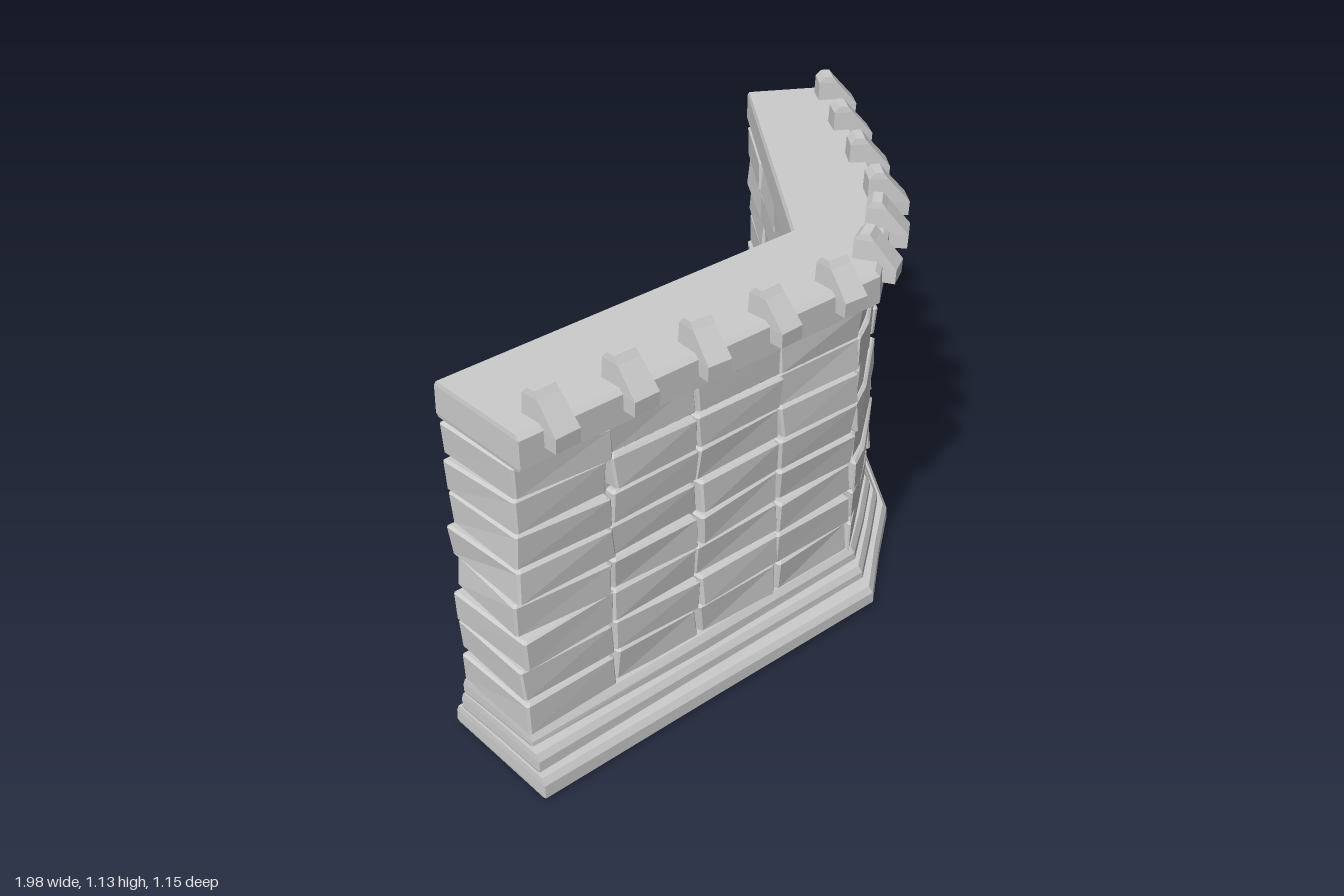
import * as THREE from 'three';

const material = new THREE.MeshStandardMaterial({ color: 0xcccccc, flatShading: true });

// Seeded random value in -1..1
let seed = 11;
const rand = () => {
  seed = (seed * 16807) % 2147483647;
  return (seed / 2147483647) * 2 - 1;
};

// Solid through a stack of rings, each a loop of [x, y, z], with both ends capped
function loft(name, rings) {
  const pos = [];
  const tri = (...pts) => pts.forEach((p) => pos.push(...p));
  const n = rings[0].length;
  for (let r = 0; r < rings.length - 1; r++) {
    const a = rings[r], b = rings[r + 1];
    for (let i = 0; i < n; i++) {
      const j = (i + 1) % n;
      tri(a[i], a[j], b[j]);
      tri(a[i], b[j], b[i]);
    }
  }
  const cap = (ring, up) => {
    const flat = ring.map(([x, , z]) => new THREE.Vector2(x, -z));
    for (const [a, b, c] of THREE.ShapeUtils.triangulateShape(flat, [])) {
      if (up) tri(ring[a], ring[b], ring[c]);
      else tri(ring[a], ring[c], ring[b]);
    }
  };
  cap(rings[0], false);
  cap(rings[rings.length - 1], true);
  const geometry = new THREE.BufferGeometry();
  geometry.setAttribute('position', new THREE.Float32BufferAttribute(pos, 3));
  geometry.computeVertexNormals();
  const mesh = new THREE.Mesh(geometry, material);
  mesh.name = name;
  return mesh;
}

// Bent wall footprint: [x, z, outward x, outward z, 1 at the slanted arm's end]
const PLAN = [
  [-0.98, 0.49, -0.12, 1, 0], [0.15, 0.49, 0.4, 1, 0], [0.43, 0.275, 1, 0.45, 0],
  [0.90, -0.42, 1.25, 0.3, 1], [0.712, -0.53, 0.15, -0.65, 1],
  [0.17, 0.222, -0.15, -0.5, 0], [-0.98, 0.222, -0.12, -0.5, 0],
];
// Footprint grown by d, with the slanted arm lengthened by extra
const plan = (d, extra) => PLAN.map(([x, z, nx, nz, end]) => [
  x + nx * d + end * extra * 0.58, z + nz * d - end * extra * 0.81,
]);

// Split every side of a footprint so that it can be made uneven
function subdivide(loop, parts) {
  const out = [];
  loop.forEach(([x, z], i) => {
    const [u, v] = loop[(i + 1) % loop.length];
    for (let k = 0; k < parts; k++) {
      const t = k / parts;
      out.push([x + (u - x) * t, z + (v - z) * t]);
    }
  });
  return out;
}

// Long uneven plinth course with worn edges
function plinthCourse(name, y0, y1, d, extra) {
  const n = PLAN.length * 2;
  const side = Array.from({ length: n }, () => rand() * 0.004);
  const low = Array.from({ length: n }, () => Math.abs(rand()) * 0.011);
  const high = Array.from({ length: n }, () => rand() * 0.005);
  const ring = (y, off, lift) => subdivide(plan(d + off, extra), 2)
    .map(([x, z], i) => [x, y + lift[i], z + side[i]]);
  return loft(name, [
    ring(y0, -0.012, low), ring(y0 + 0.007, 0, low),
    ring(y1 - 0.018, -0.002, high), ring(y1, -0.014, high),
  ]);
}

// Cut the corners of a footprint ring of [x, y, z]
function cutCorners(ring, c) {
  const toward = (p, q) => {
    const t = Math.min(c / Math.hypot(q[0] - p[0], q[2] - p[2]), 0.35);
    return p.map((v, k) => v + (q[k] - v) * t);
  };
  return ring.flatMap((p, i) => [
    toward(p, ring[(i + ring.length - 1) % ring.length]),
    toward(p, ring[(i + 1) % ring.length]),
  ]);
}

// Roughly hewn block over a footprint
function block(name, loop, y0, y1) {
  const cx = loop.reduce((s, p) => s + p[0], 0) / loop.length;
  const cz = loop.reduce((s, p) => s + p[1], 0) / loop.length;
  const tilt = rand() * 0.005;
  const shared = loop.map(() => [rand() * 0.007, rand() * 0.009]);
  const level = (y) => loop.map(([x, z], i) => [
    x + shared[i][0] + rand() * 0.007,
    y + (x < cx ? tilt : -tilt) + rand() * 0.002,
    z + shared[i][1] + rand() * 0.006,
  ]);
  const inset = (ring, y) => ring.map((p) => {
    const dx = cx - p[0], dz = cz - p[2], len = Math.hypot(dx, dz);
    return [p[0] + (dx / len) * 0.01, p[1] + y, p[2] + (dz / len) * 0.01];
  });
  const low = level(y0 + 0.006), high = level(y1 - 0.006);
  return loft(name, [inset(low, -0.006), low, high, inset(high, 0.006)]
    .map((ring) => cutCorners(ring, 0.006)));
}

// Footprints of the blocks in one course
function courseFootprints() {
  const out = [];
  const xs = [-0.983, -0.70, -0.42, -0.14, 0.14];
  for (let i = 0; i < 4; i++) {
    const a = xs[i], b = xs[i + 1] - 0.002;
    out.push([[a, 0.49], [b, 0.49], [b, 0.222], [a, 0.222]]);
  }
  out.push([[0.14, 0.485], [0.225, 0.44], [0.43, 0.275], [0.232, 0.135], [0.17, 0.222], [0.14, 0.225]]);
  const outer = [[0.43, 0.275], [0.60, 0.045], [0.76, -0.18], [0.905, -0.42]];
  const inner = [[0.232, 0.135], [0.395, -0.093], [0.552, -0.312], [0.712, -0.535]];
  for (let i = 0; i < 3; i++) out.push([outer[i], outer[i + 1], inner[i + 1], inner[i]]);
  return out;
}

// Small merlon with a sloping outer face
function merlon(x, z, angle) {
  const w = 0.036 + rand() * 0.002;
  const ring = (y, front, back, half) => [
    [-half, y, front], [half, y, front], [half, y, back], [-half, y, back],
  ];
  const mesh = loft('merlon', [
    ring(1.002, 0.06, -0.055, w),
    ring(1.042, 0.062, -0.058, w),
    ring(1.112, 0, -0.055, w * 0.92),
    ring(1.13, -0.014, -0.04, w * 0.85),
  ]);
  mesh.position.set(x, 0, z);
  mesh.rotation.y = angle + rand() * 0.08;
  return mesh;
}

export function createModel() {
  const model = new THREE.Group();
  model.name = 'bentWall';

  // Stepped plinth
  const plinth = new THREE.Group();
  plinth.name = 'plinth';
  plinth.add(
    plinthCourse('plinthBottom', 0, 0.064, 0.072, 0),
    plinthCourse('plinthMiddle', 0.066, 0.124, 0.04, 0.012),
    plinthCourse('plinthTop', 0.124, 0.174, 0.016, 0.022),
  );
  model.add(plinth);

  // Core behind the joints
  const core = [
    [-0.95, 0.46], [0.13, 0.46], [0.39, 0.26], [0.86, -0.405],
    [0.72, -0.49], [0.19, 0.252], [-0.95, 0.252],
  ];
  const coreRing = (y) => core.map(([x, z]) => [x, y, z]);
  model.add(loft('core', [coreRing(0.05), coreRing(0.98)]));

  // Eight courses of stone blocks
  const blocks = new THREE.Group();
  blocks.name = 'stoneCourses';
  const pitch = 0.0985;
  for (let row = 0; row < 8; row++) {
    const y = 0.17 + row * pitch;
    for (const loop of courseFootprints()) blocks.add(block('stoneBlock', loop, y, y + 0.095));
  }
  model.add(blocks);

  // Coping slab with narrow bevels
  const slabRing = (y, d) => plan(d, 0.022).map(([x, z]) => [x, y, z]);
  model.add(loft('copingSlab', [
    slabRing(0.96, 0.026), slabRing(0.97, 0.038), slabRing(1.046, 0.036), slabRing(1.058, 0.022),
  ]));

  // Merlons along the outer edge
  const merlons = new THREE.Group();
  merlons.name = 'merlons';
  for (let i = 0; i < 5; i++) merlons.add(merlon(-0.88 + i * 0.23, 0.505, 0));
  const bend = [
    [0.225, 0.455, 0.55], [0.385, 0.34, 0.66], [0.52, 0.21, 0.9],
    [0.65, 0.015, 0.94], [0.78, -0.18, 0.94], [0.91, -0.37, 0.94],
  ];
  for (const [x, z, angle] of bend) merlons.add(merlon(x, z, angle));
  model.add(merlons);

  return model;
}
